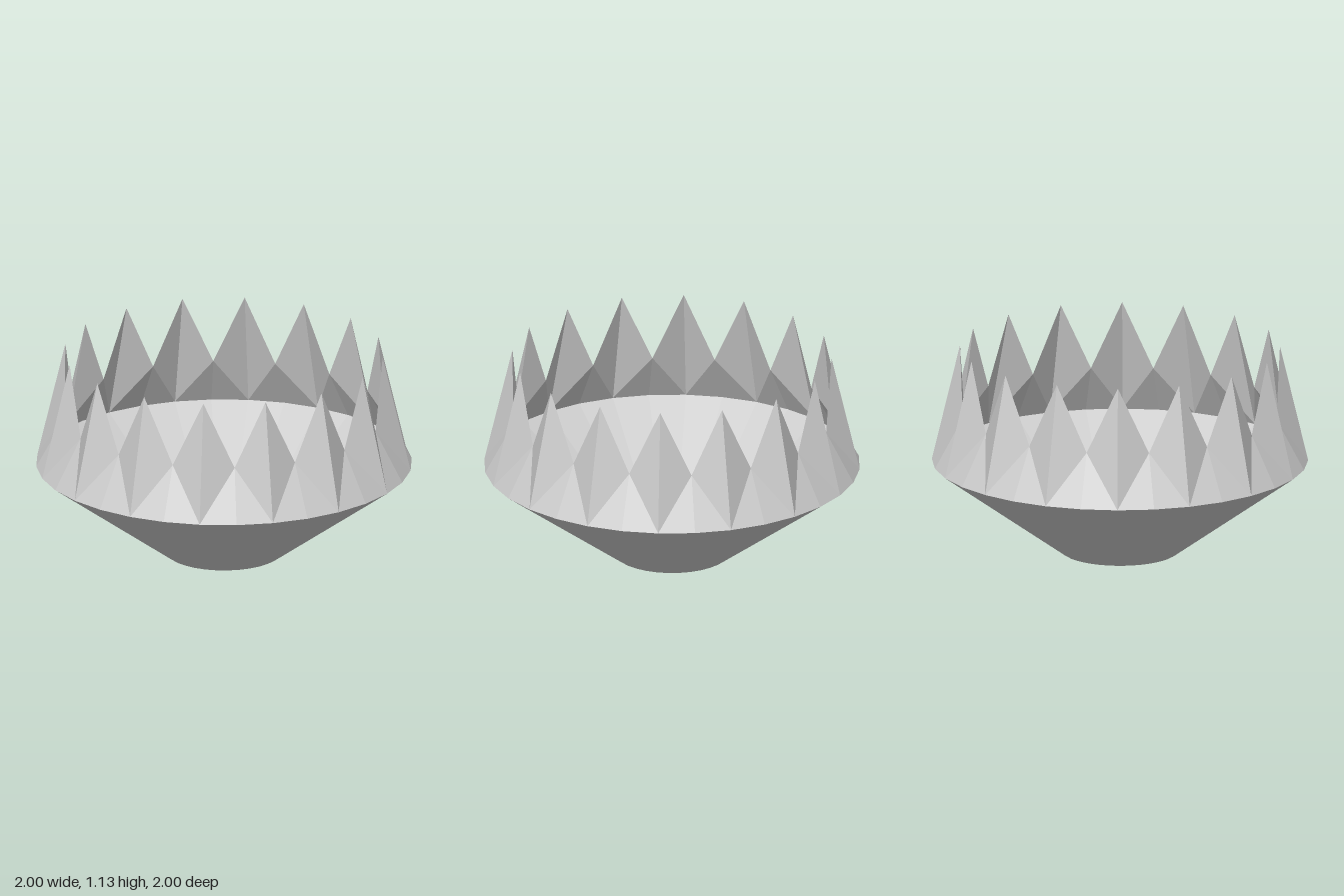
import * as THREE from 'three';

const SIDES = 32;          // rim corners, two per spike
const RIM_Y = 0.5, RIM_R = 1, TOP_R = 0.85;
const TIP_Y = 1.13, VALLEY_Y = 0.77;

const material = new THREE.MeshStandardMaterial({
  color: 0xcccccc, flatShading: true, side: THREE.DoubleSide,
});

function ringPoint(i, radius, y) {
  const a = (i / SIDES) * Math.PI * 2;
  return [radius * Math.sin(a), y, radius * Math.cos(a)];
}

// Flared bowl with a flat foot
function makeBowl() {
  const profile = [[0, 0], [0.31, 0], [RIM_R, RIM_Y]].map(([r, y]) => new THREE.Vector2(r, y));
  const bowl = new THREE.Mesh(new THREE.LatheGeometry(profile, SIDES), material);
  bowl.name = 'bowl';
  return bowl;
}

// Ring of pointed spikes, leaning inwards, each with a ridge from rim to tip
function makeSpikes() {
  const corners = [];
  for (let i = 1; i < SIDES; i += 2) {
    const foot = ringPoint(i, RIM_R, RIM_Y);
    const tip = ringPoint(i, TOP_R, TIP_Y);
    for (const s of [-1, 1]) {
      const side = ringPoint(i + s, RIM_R, RIM_Y);
      const valley = ringPoint(i + s, TOP_R, VALLEY_Y);
      const faces = [[foot, side, valley], [foot, valley, tip]];
      // keep every face turned outwards on both halves
      for (const [a, b, c] of faces) corners.push(...a, ...(s > 0 ? b : c), ...(s > 0 ? c : b));
    }
  }
  const geometry = new THREE.BufferGeometry();
  geometry.setAttribute('position', new THREE.Float32BufferAttribute(corners, 3));
  geometry.computeVertexNormals();
  const spikes = new THREE.Mesh(geometry, material);
  spikes.name = 'spikes';
  return spikes;
}

export function createModel() {
  const model = new THREE.Group();
  model.name = 'spikedBowl';
  model.add(makeBowl(), makeSpikes());
  return model;
}
